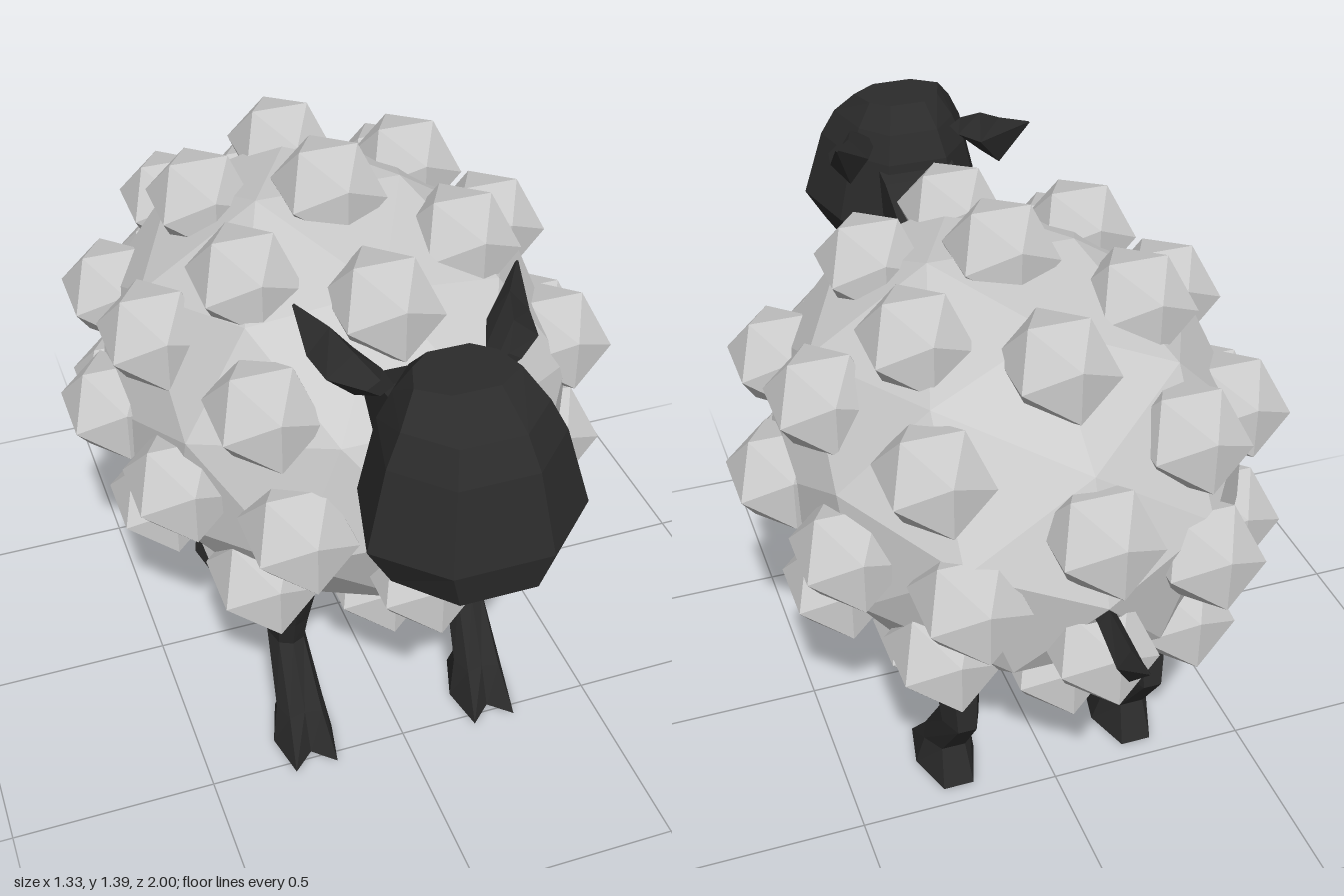
import * as THREE from 'three';

const wool = new THREE.MeshStandardMaterial({ color: 0xcccccc, flatShading: true });
const dark = new THREE.MeshStandardMaterial({ color: 0x2b2b2b, flatShading: true });

// Skin a list of equal-length rings, closing both ends with fans
function loft(rings) {
  const pos = [], n = rings[0].length;
  const tri = (...pts) => pts.forEach((p) => pos.push(...p));
  const middle = (ring) => [0, 1, 2].map((k) => ring.reduce((sum, p) => sum + p[k], 0) / n);
  const first = rings[0], last = rings[rings.length - 1];
  for (let i = 0; i < n; i++) {
    const j = (i + 1) % n;
    for (let r = 0; r < rings.length - 1; r++) {
      const a = rings[r], b = rings[r + 1];
      tri(a[i], a[j], b[j]);
      tri(a[i], b[j], b[i]);
    }
    tri(middle(first), first[j], first[i]);
    tri(middle(last), last[i], last[j]);
  }
  const geo = new THREE.BufferGeometry();
  geo.setAttribute('position', new THREE.Float32BufferAttribute(pos, 3));
  geo.computeVertexNormals();
  return geo;
}

// Diamond and square sections for parts that run backwards
const diamond = ([x, y, z, rx, ry]) => [[x - rx, y, z], [x, y + ry, z], [x + rx, y, z], [x, y - ry, z]];
const square = ([x, y, z, rx, ry]) =>
  [[x - rx, y - ry, z], [x - rx, y + ry, z], [x + rx, y + ry, z], [x + rx, y - ry, z]];

function add(parent, name, geo, material) {
  const mesh = new THREE.Mesh(geo, material);
  mesh.name = name;
  parent.add(mesh);
  return mesh;
}

// Fleece: faceted body studded with tufts
function makeFleece() {
  const fleece = new THREE.Group();
  fleece.name = 'fleece';
  fleece.position.set(0, 0.785, -0.07);
  fleece.scale.set(1.1, 1, 1.35);

  const bodyGeo = new THREE.IcosahedronGeometry(0.525, 1);
  bodyGeo.rotateX(Math.atan((Math.sqrt(5) - 1) / 2));
  add(fleece, 'body', bodyGeo, wool);

  const tuftGeo = new THREE.IcosahedronGeometry(0.123, 0);
  const tuft = (x, y, z) => {
    add(fleece, 'woolTuft', tuftGeo, wool).position.set(x, y, z).setLength(0.5);
  };

  // Each direction repeats half a turn round, and above and below
  const upper = [
    [0.87, 0.3, 0.4], [0.82, 0.5, -0.15], [0.57, 0.5, -0.68],
    [0, 0.3, 0.95], [0.48, 0.84, 0.27], [0.48, 0.84, -0.27], [0, 0.84, 0.56],
  ];
  const equator = [[0.5, 0, 0.87], [1, 0, 0], [0.87, 0, -0.5], [0.5, 0, -0.87]];
  for (const s of [1, -1]) {
    tuft(0, s, 0);
    for (const [x, y, z] of upper) {
      tuft(s * x, y, s * z);
      tuft(s * x, -y, s * z - 0.04);
    }
    for (const [x, y, z] of equator) tuft(s * x, y, s * z);
    tuft(s * 0.5, -0.51, s * 0.74 - 0.04);
  }
  tuft(-0.5, 0.51, -0.74);
  return fleece;
}

// Head: stacked eight-sided rings, widest at the cheeks
function makeHead() {
  const head = new THREE.Group();
  head.name = 'head';
  const levels = [ // y, half width, back z, front z
    [0.85, 0.13, 0.71, 0.86],
    [0.93, 0.19, 0.61, 0.985],
    [1.02, 0.243, 0.57, 1.0],
    [1.2, 0.195, 0.59, 0.95],
    [1.27, 0.16, 0.62, 0.91],
    [1.33, 0.115, 0.67, 0.82],
  ];
  const skull = levels.map(([y, w, back, front]) => {
    const d = front - back;
    const half = [[0.45, front], [1, front - d * 0.3], [0.8, back + d * 0.25], [0.4, back]];
    const left = half.map(([k, z]) => [k * w, y, z]);
    return [...left, ...left.map(([x, , z]) => [-x, y, z]).reverse()];
  });
  add(head, 'skull', loft(skull), dark);

  const neck = [[0, 1.09, 0.66, 0.1, 0.1], [0, 1.07, 0.55, 0.1, 0.1], [0, 1.0, 0.38, 0.1, 0.09]];
  add(head, 'neck', loft(neck.map(square)), dark);

  for (const s of [1, -1]) {
    const ear = [
      [s * 0.14, 1.255, 0.66, 0.03, 0.02],
      [s * 0.175, 1.257, 0.6, 0.06, 0.053],
      [s * 0.2, 1.265, 0.52, 0.05, 0.062],
      [s * 0.25, 1.34, 0.44, 0.004, 0.004],
    ];
    add(head, s > 0 ? 'leftEar' : 'rightEar', loft(ear.map(diamond)), dark);
  }
  return head;
}

// Leg: bent back at the knee, with a cloven hoof
function makeLegGeometry() {
  const sections = [ // y, half width, back z, front z, toe notch
    [0, 0.077, -0.115, 0.115, 0.05],
    [0.1, 0.06, -0.075, 0.03, 0.01],
    [0.26, 0.046, -0.19, -0.08, -0.015],
    [0.34, 0.053, -0.185, -0.06, -0.015],
    [0.46, 0.063, -0.17, -0.02, -0.015],
  ];
  return loft(sections.map(([y, w, back, front, notch]) => {
    const mid = (front + back) / 2;
    return [
      [0, y, front - notch], [w * 0.7, y, front], [w, y, mid], [w * 0.5, y, back],
      [-w * 0.5, y, back], [-w, y, mid], [-w * 0.7, y, front],
    ];
  }));
}

export function createModel() {
  const sheep = new THREE.Group();
  sheep.name = 'sheep';
  sheep.add(makeFleece(), makeHead());

  const legGeo = makeLegGeometry();
  for (const [end, z] of [['front', 0.415], ['back', -0.335]]) {
    add(sheep, `${end}LeftLeg`, legGeo, dark).position.set(0.24, 0, z);
    add(sheep, `${end}RightLeg`, legGeo, dark).position.set(-0.24, 0, z);
  }

  // Tail: flicks up to a point
  const tail = [
    [0, 0.755, -0.68, 0.025, 0.03], [0, 0.75, -0.78, 0.025, 0.032],
    [0, 0.727, -0.9, 0.03, 0.045], [0, 0.79, -0.998, 0.002, 0.002],
  ];
  add(sheep, 'tail', loft(tail.map(diamond)), dark);
  return sheep;
}
